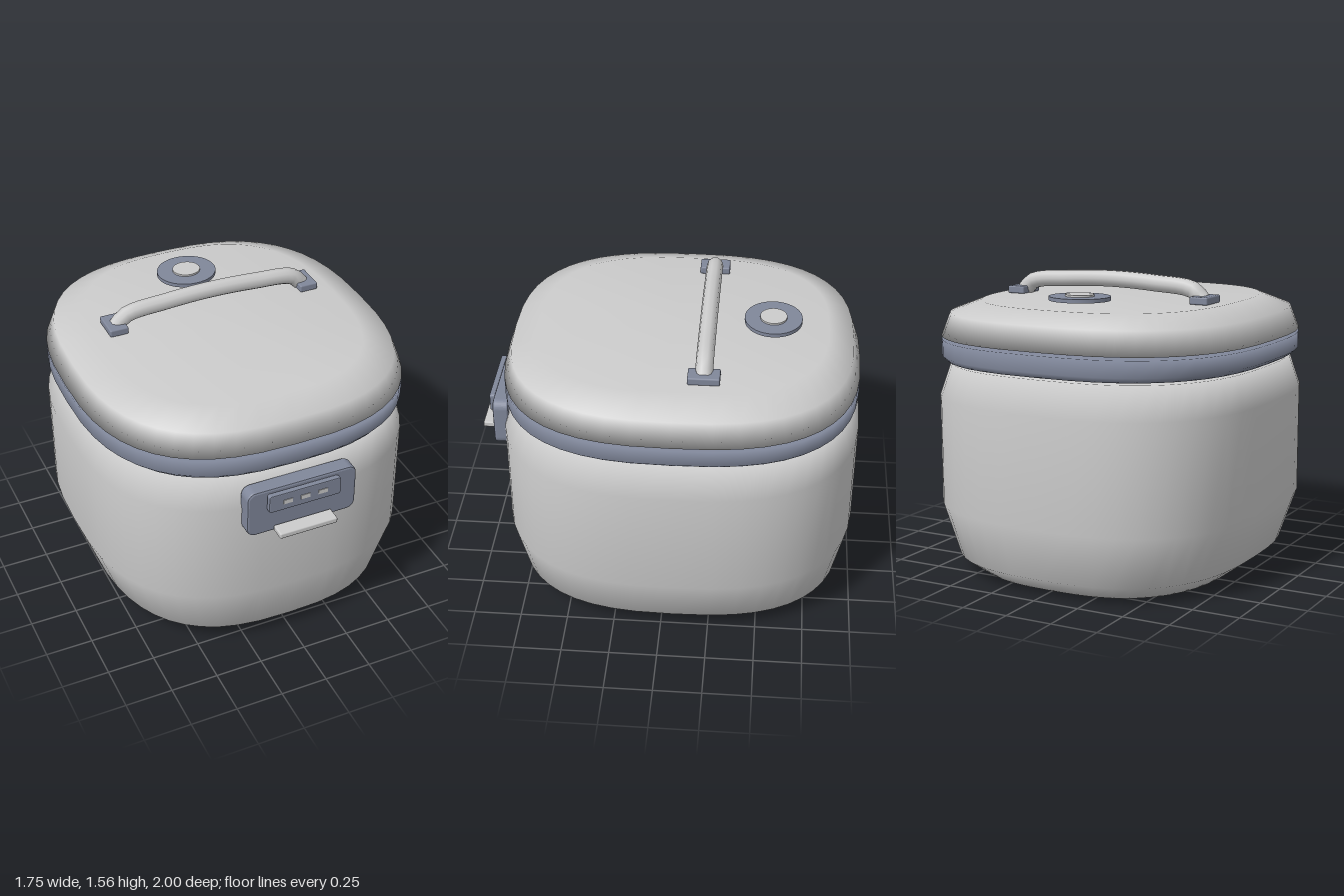
import * as THREE from 'three';
import { RoundedBoxGeometry } from 'three/addons/geometries/RoundedBoxGeometry.js';

const light = new THREE.MeshStandardMaterial({ color: 0xcccccc });
const dark = new THREE.MeshStandardMaterial({ color: 0x80879a });

const SEGMENTS = 48, POWER = 2 / 2.7, CENTER_Z = -0.065;

// Closed shell of stacked superellipse rings; each ring is [y, half width, half depth]
function shell(rings) {
  const pos = [], index = [];
  const soften = (v) => Math.sign(v) * Math.pow(Math.abs(v), POWER);
  for (const [y, a, b] of rings) {
    for (let i = 0; i < SEGMENTS; i++) {
      const t = (i / SEGMENTS) * Math.PI * 2;
      pos.push(a * soften(Math.cos(t)), y, CENTER_Z + b * soften(Math.sin(t)));
    }
  }
  const last = rings.length - 1, bottom = rings.length * SEGMENTS, top = bottom + 1;
  pos.push(0, rings[0][0], CENTER_Z, 0, rings[last][0], CENTER_Z);
  for (let i = 0; i < SEGMENTS; i++) {
    const j = (i + 1) % SEGMENTS;
    for (let r = 0; r < last; r++) {
      const p = r * SEGMENTS, q = p + SEGMENTS;
      index.push(p + i, q + i, p + j, q + i, q + j, p + j);
    }
    index.push(bottom, i, j, top, last * SEGMENTS + j, last * SEGMENTS + i);
  }
  const g = new THREE.BufferGeometry();
  g.setAttribute('position', new THREE.Float32BufferAttribute(pos, 3));
  g.setIndex(index);
  g.computeVertexNormals();
  return g;
}

// Upright plate with rounded corners and a small bevel, back face at z = 0
function plate(w, h, depth, radius, bevel) {
  const x = w / 2 - bevel, y = h / 2 - bevel, r = radius;
  const s = new THREE.Shape();
  s.moveTo(-x + r, -y);
  s.lineTo(x - r, -y).absarc(x - r, -y + r, r, -Math.PI / 2, 0);
  s.lineTo(x, y - r).absarc(x - r, y - r, r, 0, Math.PI / 2);
  s.lineTo(-x + r, y).absarc(-x + r, y - r, r, Math.PI / 2, Math.PI);
  s.lineTo(-x, -y + r).absarc(-x + r, -y + r, r, Math.PI, Math.PI * 1.5);
  const g = new THREE.ExtrudeGeometry(s, {
    depth: depth - 2 * bevel, bevelThickness: bevel, bevelSize: bevel, bevelSegments: 2, curveSegments: 5,
  });
  return g.translate(0, 0, bevel);
}

export function createModel() {
  const model = new THREE.Group();
  model.name = 'cooker';
  const add = (name, geometry, material, x = 0, y = 0, z = 0) => {
    const mesh = new THREE.Mesh(geometry, material);
    mesh.name = name;
    mesh.position.set(x, y, z);
    model.add(mesh);
    return mesh;
  };

  // Main housing, sealing band and lid, with thin gaps between them
  add('body', shell([
    [0, 0.66, 0.76], [0.09, 0.78, 0.88], [0.36, 0.875, 0.935],
    [0.93, 0.875, 0.935], [1.1, 0.82, 0.88],
  ]), light);
  add('band', shell([[1.115, 0.835, 0.905], [1.14, 0.865, 0.92], [1.225, 0.865, 0.92]]), dark);
  add('lid', shell([[1.24, 0.865, 0.92], [1.36, 0.82, 0.88], [1.422, 0.66, 0.75]]), light);

  // Control panel on the front
  add('controlPanel', plate(0.595, 0.265, 0.085, 0.035, 0.012), dark, 0, 0.923, 0.83);
  add('display', plate(0.39, 0.1, 0.03, 0.008, 0.005), dark, 0, 0.985, 0.917);
  for (const x of [-0.095, 0, 0.095]) {
    add('indicator', new THREE.BoxGeometry(0.05, 0.024, 0.01), light, x, 0.983, 0.945);
  }
  add('latch', new RoundedBoxGeometry(0.315, 0.032, 0.08, 2, 0.008), light, 0, 0.815, 0.96);

  // Carrying handle with a foot at each end
  const path = new THREE.CatmullRomCurve3([
    [-0.53, 1.435], [-0.475, 1.487], [-0.25, 1.512], [0, 1.522],
    [0.25, 1.512], [0.475, 1.487], [0.53, 1.435],
  ].map(([x, y]) => new THREE.Vector3(x, y, -0.2)));
  add('handle', new THREE.TubeGeometry(path, 28, 0.044, 10), light);
  for (const side of [-1, 1]) {
    add('handleFoot', new RoundedBoxGeometry(0.1, 0.04, 0.16, 2, 0.008), dark, side * 0.54, 1.442, -0.2);
  }

  // Steam vent: oval disc with a raised centre
  add('ventRing', new THREE.CylinderGeometry(0.16, 0.16, 0.02, 40), dark, 0, 1.454, -0.527).scale.z = 0.93;
  add('ventCap', new THREE.CylinderGeometry(0.075, 0.075, 0.02, 32), light, 0, 1.464, -0.527).scale.z = 0.93;

  return model;
}
